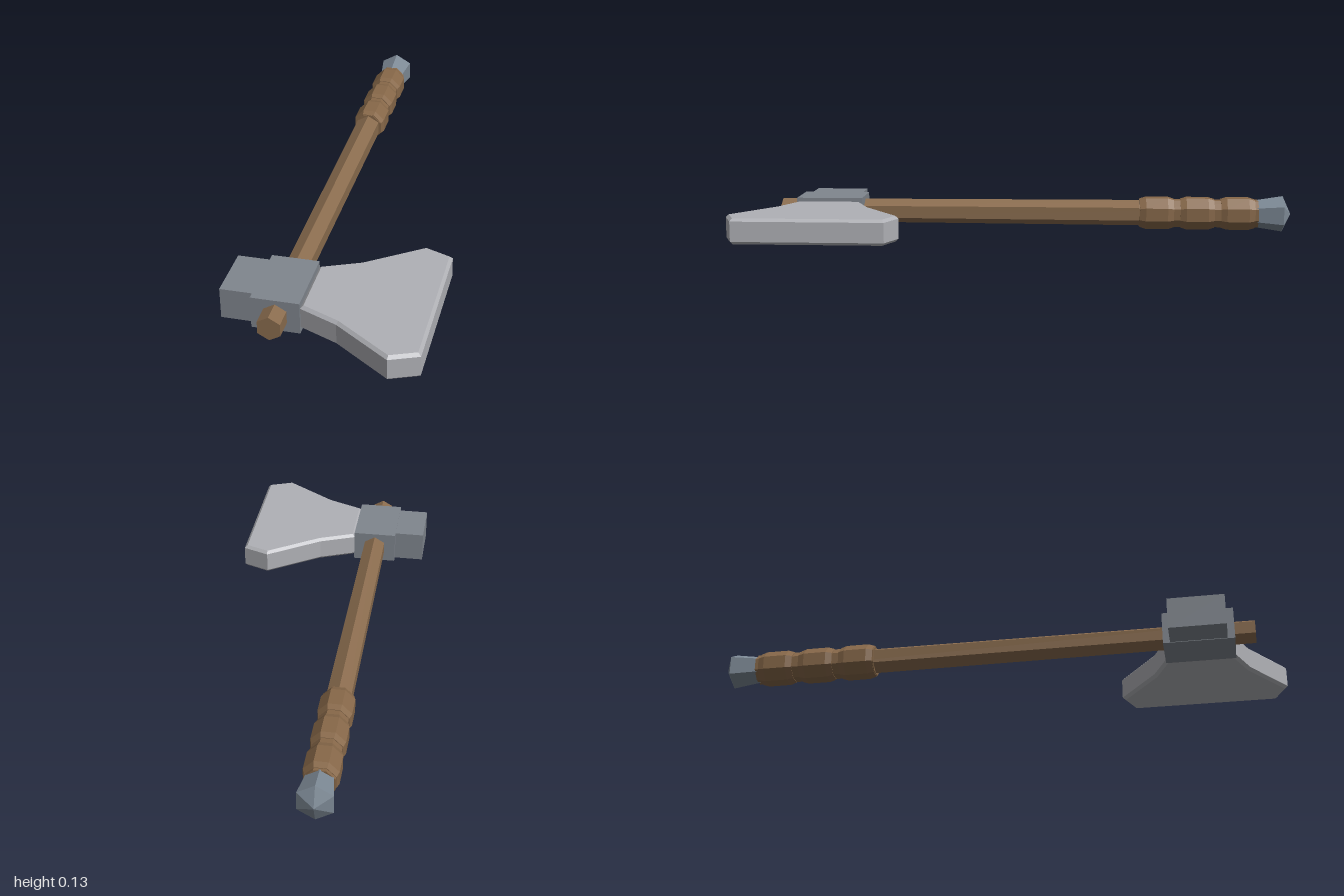
import * as THREE from 'three';

const material = (color) => new THREE.MeshStandardMaterial({ color, flatShading: true });
const AXIS = { x: -0.152, y: 0.067 };

export function createModel() {
  const group = new THREE.Group();
  const wood = material(0x8a6c4e);
  const grip = material(0x876849);
  const darkSteel = material(0x80868e);
  const pommelSteel = material(0x7c8894);
  const brightSteel = material(0xb0b1b6);

  const add = (name, geometry, mat) => {
    const mesh = new THREE.Mesh(geometry, mat);
    mesh.name = name;
    group.add(mesh);
    return mesh;
  };

  // Faceted part turned around the handle axis; profile pairs are [radius, z], running from front to back
  const turned = (name, profile, sides, phiStart, mat) => {
    const points = profile.map(([r, z]) => new THREE.Vector2(r, -z));
    const geometry = new THREE.LatheGeometry(points, sides, phiStart);
    geometry.rotateX(-Math.PI / 2);
    add(name, geometry, mat).position.set(AXIS.x, AXIS.y, 0);
  };

  // Box given by its limits on each axis
  const block = (name, [x0, x1], [y0, y1], [z0, z1], mat) => {
    const mesh = add(name, new THREE.BoxGeometry(x1 - x0, y1 - y0, z1 - z0), mat);
    mesh.position.set((x0 + x1) / 2, (y0 + y1) / 2, (z0 + z1) / 2);
  };

  // Six-sided tapering shaft
  turned('handle', [[0, 0.885], [0.043, 0.885], [0.049, -0.9], [0, -0.9]], 6, 0, wood);

  // Eight-sided grip: three bevelled wraps joined by narrower necks
  turned('gripCore', [[0, -0.445], [0.053, -0.445], [0.053, -0.88], [0, -0.88]], 8, Math.PI / 8, grip);
  for (let i = 0; i < 3; i++) {
    const z = -0.51 - i * 0.148;
    turned('gripWrap', [
      [0, z + 0.062], [0.055, z + 0.062], [0.062, z + 0.04],
      [0.062, z - 0.04], [0.055, z - 0.062], [0, z - 0.062],
    ], 8, Math.PI / 8, grip);
  }

  // Flared pommel with a pointed end
  turned('pommel', [[0, -0.875], [0.051, -0.875], [0.066, -0.97], [0, -1]], 6, 0, pommelSteel);

  // Axe head socket and hammer-like poll
  block('headSocket', [-0.232, -0.072], [0.011, 0.124], [0.574, 0.815], darkSteel);
  block('poll', [-0.34, -0.225], [0.013, 0.122], [0.598, 0.79], darkSteel);

  // Flaring blade with a chamfered rim, drawn in x and z
  const outline = [
    [-0.073, 0.58], [0.057, 0.525], [0.245, 0.393], [0.34, 0.43],
    [0.34, 0.957], [0.245, 0.995], [0.057, 0.863], [-0.073, 0.808],
  ];
  const blade = new THREE.ExtrudeGeometry(new THREE.Shape(outline.map(([x, z]) => new THREE.Vector2(x, z))), {
    depth: 0.07, bevelEnabled: true, bevelThickness: 0.01, bevelSize: 0.01, bevelOffset: -0.01, bevelSegments: 1,
  });
  blade.rotateX(Math.PI / 2);
  add('blade', blade, brightSteel).position.y = 0.102;

  return group;
}
